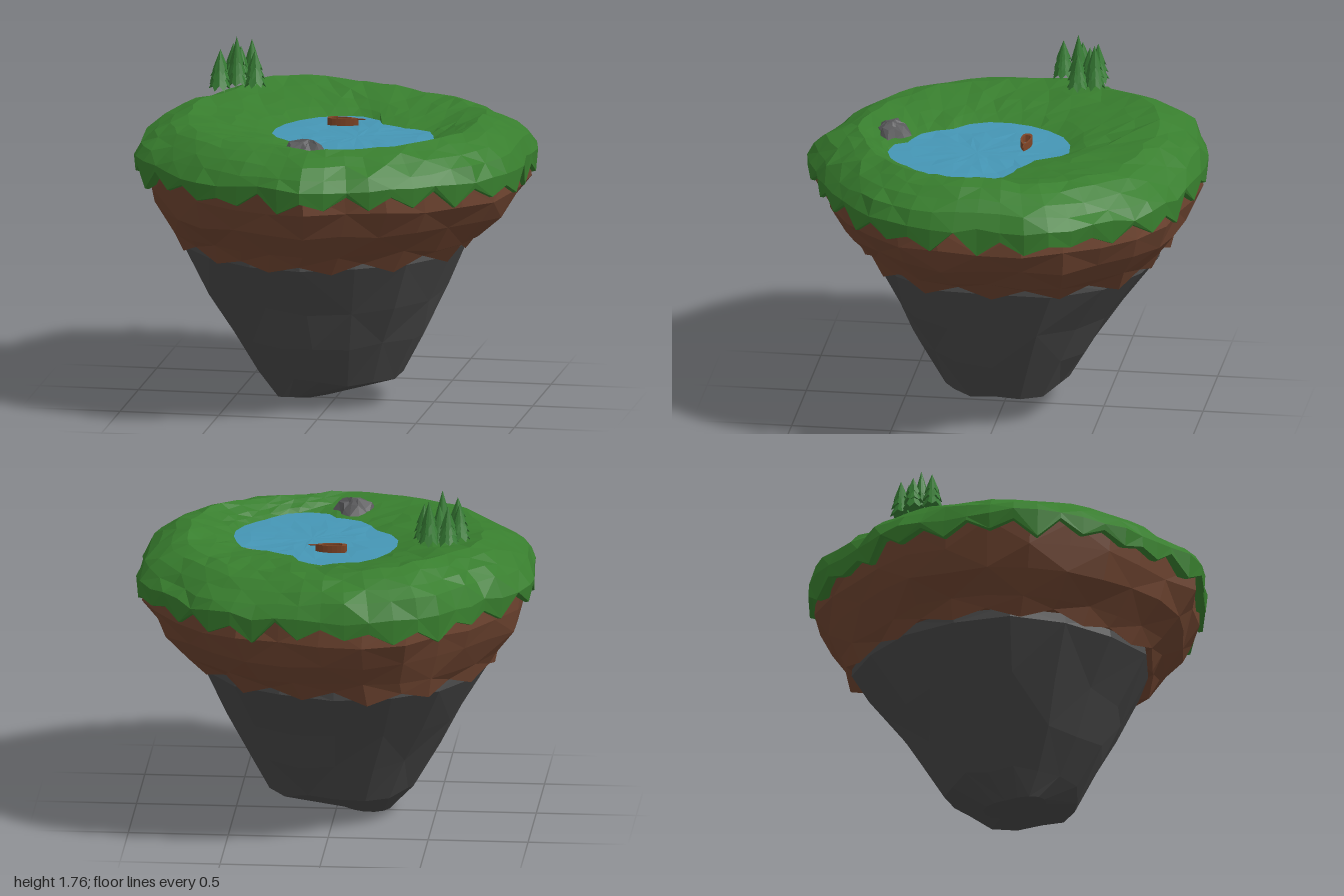
import * as THREE from 'three';
import { mergeGeometries } from 'three/addons/utils/BufferGeometryUtils.js';

const TAU = Math.PI * 2;
const mat = (name, color) => Object.assign(new THREE.MeshStandardMaterial({ color }), { name });

// Small seeded noise, -1..1
let seed = 7;
const noise = () => {
  seed = (seed * 16807) % 2147483647;
  return (seed / 2147483647) * 2 - 1;
};

// Radius as a function of angle for a star-shaped outline of [x, z] points
function polar(points, cx = 0, cz = 0) {
  const p = points
    .map(([x, z]) => [(Math.atan2(z - cz, x - cx) + TAU) % TAU, Math.hypot(x - cx, z - cz)])
    .sort((a, b) => a[0] - b[0]);
  const first = p[0], last = p[p.length - 1];
  p.unshift([last[0] - TAU, last[1]]);
  p.push([first[0] + TAU, first[1]]);
  return (a) => {
    const t = ((a % TAU) + TAU) % TAU;
    const i = p.findIndex((q) => q[0] > t);
    const [a0, r0] = p[i - 1], [a1, r1] = p[i];
    return r0 + ((r1 - r0) * (t - a0)) / (a1 - a0);
  };
}

const coast = polar([[0.97, 0], [0.985, 0.12], [0.95, 0.34], [0.87, 0.51], [0.67, 0.7], [0.46, 0.84],
  [0.2, 0.925], [0.12, 0.97], [-0.03, 1.01], [-0.25, 0.92], [-0.53, 0.83], [-0.66, 0.73], [-0.8, 0.59],
  [-0.9, 0.45], [-0.965, 0.32], [-0.985, 0.2], [-0.995, 0.05], [-0.985, -0.29], [-0.8, -0.53], [-0.64, -0.79],
  [-0.5, -0.93], [0, -1], [0.24, -0.95], [0.58, -0.84], [0.77, -0.62], [0.92, -0.43], [0.985, -0.33], [0.98, -0.22]]);
const POND = [0.13, 0.12];
const POND_Y = 1.367;
const shore = polar([[0.06, -0.34], [0.16, -0.3], [0.2, -0.18], [0.33, -0.11], [0.46, -0.07], [0.51, 0.07],
  [0.53, 0.18], [0.48, 0.32], [0.39, 0.42], [0.29, 0.53], [0.1, 0.57], [0.04, 0.48], [-0.11, 0.42],
  [-0.17, 0.29], [-0.29, 0.17], [-0.29, -0.05], [-0.24, -0.16], [-0.11, -0.3]], ...POND);

// Height of the meadow crest, every 30 degrees
const CREST = [1.46, 1.445, 1.43, 1.43, 1.43, 1.43, 1.445, 1.465, 1.487, 1.455, 1.425, 1.43];
function crest(a) {
  const k = (a / TAU) * 12, i = Math.floor(k) % 12;
  return THREE.MathUtils.lerp(CREST[i], CREST[(i + 1) % 12], k - Math.floor(k));
}

const ring = (n, fn) => Array.from({ length: n }, (_, j) => fn((j / n) * TAU, j));

// Faceted surface through rings listed from bottom to top, with optional end points
function loft(rings, bottom, top) {
  const pos = [], n = rings[0].length;
  const tri = (...v) => v.forEach((p) => pos.push(...p));
  for (let j = 0; j < n; j++) {
    const k = (j + 1) % n;
    for (let i = 0; i + 1 < rings.length; i++) {
      const a = rings[i][j], b = rings[i + 1][j], c = rings[i][k], d = rings[i + 1][k];
      if ((i + j) % 2) { tri(a, b, c); tri(b, d, c); } else { tri(a, b, d); tri(a, d, c); }
    }
    const t = rings[rings.length - 1];
    if (bottom) tri(bottom, rings[0][j], rings[0][k]);
    if (top) tri(t[j], top, t[k]);
  }
  const g = new THREE.BufferGeometry();
  g.setAttribute('position', new THREE.Float32BufferAttribute(pos, 3));
  g.computeVertexNormals();
  return g;
}

// Ring following the coast, scaled and shifted, with some roughness
const crag = (n, cx, cz, sx, sz, y, rough = 0.02, zig = 0) => ring(n, (a, j) => {
  const r = coast(a) * (1 + rough * noise());
  return [cx + r * sx * Math.cos(a), y + rough * 0.8 * noise() + (j % 2 ? zig : -zig), cz + r * sz * Math.sin(a)];
});

function grassGeometry() {
  const N = 52, { lerp } = THREE.MathUtils;
  const teeth = ring(N, (a, j) => (j % 2 ? 1.22 + 0.035 * noise() : 1.15 + 0.025 * noise()));
  const rim = (a, k, y) => [coast(a) * k * Math.cos(a), y, coast(a) * k * Math.sin(a)];
  // Point between the shore (t = 0) and the crest line (t = 1)
  const bank = (a, t, y) => {
    const s = shore(a), [x, , z] = rim(a, 0.74, 0);
    return [lerp(POND[0] + s * Math.cos(a), x, t), y, lerp(POND[1] + s * Math.sin(a), z, t)];
  };
  // Hanging fringe and its thin underside
  const rings = [[0.91, 0.03], [0.97, 0], [0.99, 0.005]].map(([k, dy]) => ring(N, (a, j) => rim(a, k, teeth[j] + dy)));
  // Rounded shoulder
  rings.push(ring(N, (a) => rim(a, 0.994 + 0.008 * noise(), 1.265 + 0.015 * noise())));
  for (const [k, drop] of [[0.95, 0.11], [0.885, 0.062], [0.815, 0.022]])
    rings.push(ring(N, (a) => rim(a, k + 0.014 * noise(), crest(a) - drop + 0.008 * noise())));
  // Meadow falling to the pond
  for (const t of [1, 0.72, 0.45, 0.2])
    rings.push(ring(N, (a) => bank(a, t + 0.05 * noise(), lerp(POND_Y, crest(a), t ** 0.8) + 0.008 * noise())));
  // Shore, tucked under the water
  rings.push(ring(N, (a) => bank(a, 0, POND_Y)));
  rings.push(ring(N, (a) => bank(a, -0.12, POND_Y - 0.02)));
  return loft(rings);
}

// Gently rippled pond, sharing the shoreline of the meadow
function waterGeometry() {
  const rings = [1, 0.75, 0.5, 0.25].map((k) => ring(26, (a) => {
    const r = shore(a) * k * (k < 1 ? 1 + 0.1 * noise() : 1);
    return [POND[0] + r * Math.cos(a), POND_Y + (k < 1 ? 0.007 * k * noise() : 0), POND[1] + r * Math.sin(a)];
  }));
  return loft(rings, null, [POND[0], POND_Y, POND[1]]);
}

// Conifer of three ragged tiers
function treeGeometry(h) {
  const tiers = [[0, 0.6, 0.056], [0.19, 0.8, 0.051], [0.4, 1, 0.04]];
  return mergeGeometries(tiers.map(([y0, y1, r]) => {
    const skirt = ring(14, (a, j) => {
      const k = j % 2 ? r * 0.85 : r;
      return [k * Math.cos(a), h * y0 + (j % 2 ? 0.032 : 0.008 + 0.008 * noise()), k * Math.sin(a)];
    });
    return loft([skirt], [0, h * y0 + 0.04, 0], [0, h * y1, 0]);
  }));
}

// Boat outline seen from above, pointed at +x
function boatOutline(k, Kind) {
  const s = new Kind();
  s.moveTo(-0.07 * k, -0.014 * k);
  s.quadraticCurveTo(-0.055 * k, -0.03 * k, 0, -0.028 * k);
  s.quadraticCurveTo(0.05 * k, -0.025 * k, 0.085 * k, 0);
  s.quadraticCurveTo(0.05 * k, 0.025 * k, 0, 0.028 * k);
  s.quadraticCurveTo(-0.055 * k, 0.03 * k, -0.07 * k, 0.014 * k);
  s.closePath();
  return s;
}

export function createModel() {
  seed = 7;
  const model = new THREE.Group();
  model.name = 'floatingIsland';
  const grass = mat('grass', 0x387e2e), soil = mat('soil', 0x6e4430), rock = mat('rock', 0x484848);
  const water = mat('water', 0x4596b5), leaves = mat('leaves', 0x357a33);
  const wood = mat('wood', 0x7e4426), stone = mat('stone', 0x5a5a5c);
  const add = (name, geometry, material, parent = model) => {
    const m = new THREE.Mesh(geometry, material);
    m.name = name;
    parent.add(m);
    return m;
  };

  // Ground layers
  add('meadow', grassGeometry(), grass);
  add('pond', waterGeometry(), water);
  add('soilLayer', loft([
    crag(28, -0.05, -0.035, 0.68, 0.71, 0.85, 0.005),
    crag(28, -0.05, -0.03, 0.735, 0.765, 0.812, 0.015, 0.024),
    crag(28, -0.02, -0.025, 0.795, 0.81, 0.89, 0.015),
    crag(28, -0.005, -0.01, 0.89, 0.9, 1.01),
    crag(28, 0.015, -0.01, 0.95, 0.95, 1.13, 0.015),
    crag(28, 0.005, 0, 0.95, 0.95, 1.25, 0.01),
  ]), soil);
  const base = ring(16, (a) => [-0.15 + 0.13 * Math.cos(a),
    0.02 + 0.01 * Math.cos(a) + 0.025 * Math.max(0, Math.sin(a)), 0.05 + 0.16 * Math.sin(a)]);
  add('rockBase', loft([
    base,
    crag(16, -0.02, 0, 0.37, 0.325, 0.14, 0.02),
    crag(16, -0.03, 0, 0.485, 0.46, 0.35, 0.025),
    crag(16, -0.042, -0.01, 0.595, 0.575, 0.55, 0.02),
    crag(16, -0.05, -0.035, 0.72, 0.742, 0.8, 0.012),
    crag(16, -0.05, -0.035, 0.71, 0.735, 0.87, 0.005),
  ], [-0.13, 0, 0.02]), rock);

  // Grove
  const grove = new THREE.Group();
  grove.name = 'grove';
  model.add(grove);
  [[-0.59, -0.385, 0.205], [-0.495, -0.38, 0.23], [-0.64, -0.3, 0.19], [-0.555, -0.29, 0.26],
    [-0.465, -0.3, 0.19], [-0.625, -0.205, 0.2], [-0.545, -0.35, 0.2]].forEach(([x, z, h], i) => {
    const tree = add('tree', treeGeometry(h), leaves, grove);
    tree.position.set(x, 1.5, z);
    tree.rotation.y = i * 0.7;
  });

  // Jagged boulder pile by the shore
  const edge = polar([[-0.145, 0.645], [-0.11, 0.51], [0, 0.485], [0.02, 0.55], [0.07, 0.585], [0, 0.63], [-0.03, 0.66]], -0.04, 0.58);
  const pile = [[1.05, 1.375, 0.06], [0.7, 1.415, 0.25], [0.35, 1.432, 0.25]].map(([k, y, rough]) => ring(13, (a) => {
    const r = edge(a) * k * (1 + rough * noise());
    return [-0.04 + r * Math.cos(a), y + 0.06 * rough * noise(), 0.58 + r * Math.sin(a)];
  }));
  add('boulders', loft(pile, null, [-0.03, 1.447, 0.57]), stone);

  // Rowing boat with an open hull and a spar at the bow
  const boat = new THREE.Group();
  boat.name = 'boat';
  boat.position.set(0.01, 1.372, -0.11);
  model.add(boat);
  const hull = boatOutline(1, THREE.Shape);
  hull.holes.push(boatOutline(0.68, THREE.Path));
  add('hull', new THREE.ExtrudeGeometry(hull, { depth: 0.036, bevelEnabled: false, curveSegments: 4 })
    .rotateX(-Math.PI / 2), wood, boat);
  add('bowSpar', new THREE.CylinderGeometry(0.003, 0.005, 0.06, 5).rotateZ(-Math.PI / 2)
    .translate(0.09, 0.032, 0), wood, boat);
  return model;
}
